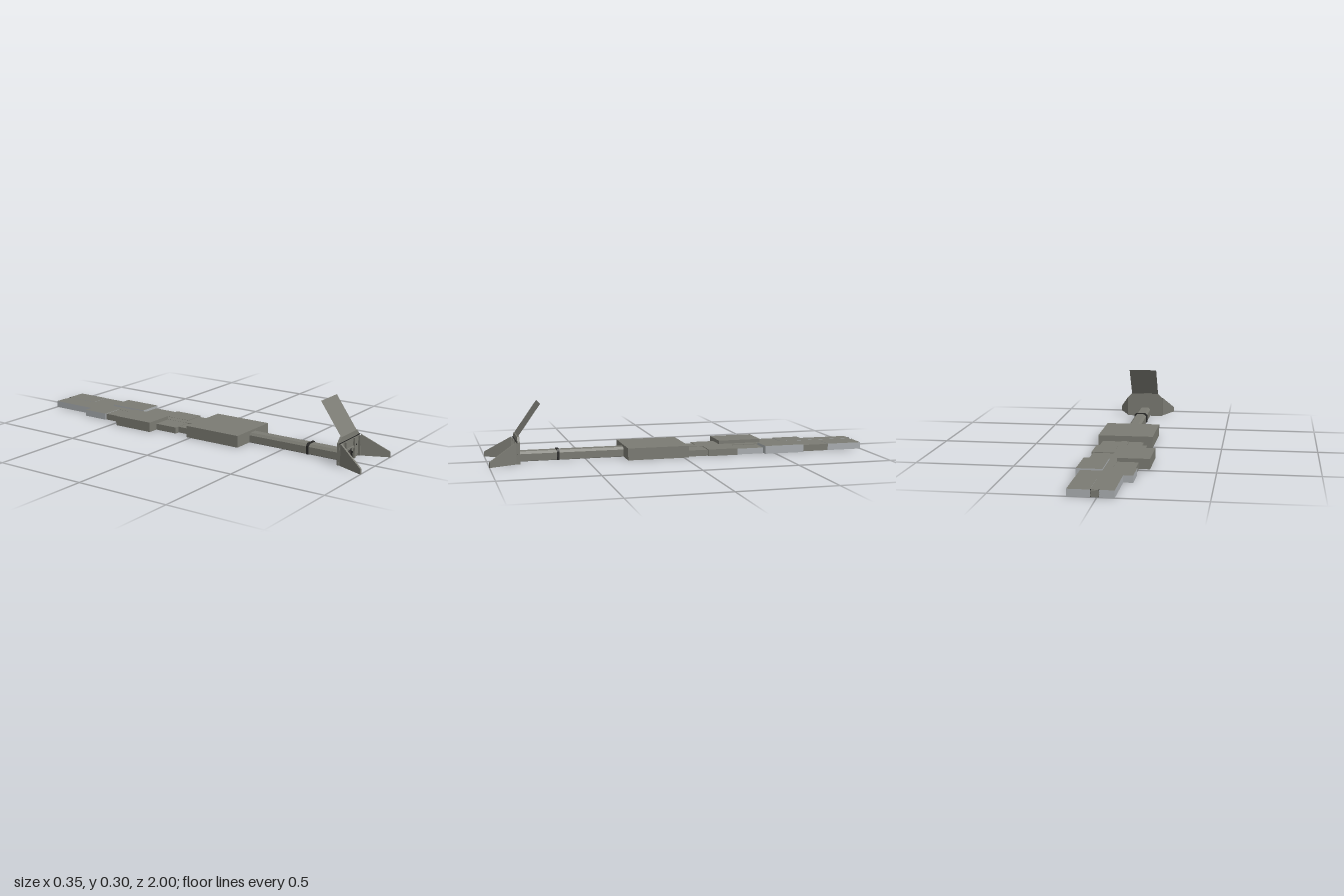
import * as THREE from 'three';

const CX = 0.01; // axis of the spine and front gate

const mat = (name, color, side = THREE.FrontSide) => {
  const m = new THREE.MeshStandardMaterial({ color, side });
  m.name = name;
  return m;
};

export function createModel() {
  const root = new THREE.Group();
  root.name = 'station';
  const hull = mat('hullGrey', 0x7b7b73);
  const sheet = mat('sheetGrey', 0x7b7b73, THREE.DoubleSide);
  const light = mat('lightGrey', 0xabafb2);
  const under = mat('undersideGrey', 0x5b5b58);
  const dark = mat('darkTrim', 0x2a2a29);
  const door = mat('doorBrown', 0x4c4744);
  const yellow = mat('yellowStripe', 0xe0a012);

  const add = (name, geo, material) => {
    const m = new THREE.Mesh(geo, material);
    m.name = name;
    root.add(m);
    return m;
  };
  // Box given by its limits
  const box = (name, x0, x1, y0, y1, z0, z1, material = hull) => {
    const m = add(name, new THREE.BoxGeometry(x1 - x0, y1 - y0, z1 - z0), material);
    m.position.set((x0 + x1) / 2, (y0 + y1) / 2, (z0 + z1) / 2);
    return m;
  };
  // Flat profile extruded along z
  const prism = (name, points, z0, z1, material) => {
    const s = new THREE.Shape(points.map(p => new THREE.Vector2(...p)));
    const geo = new THREE.ExtrudeGeometry(s, { depth: z1 - z0, bevelEnabled: false });
    geo.translate(0, 0, z0);
    return add(name, geo, material);
  };

  // Blocks with a grey roof; wall and floor colours vary
  const walls = (wall, floor) => [wall, wall, hull, floor, wall, wall];
  const plain = walls(hull, under);
  const pale = walls(light, under);
  const paleFloor = walls(light, light);

  // Rooms on the +x side: outer x, height, z range, colours
  [
    [0.137, 0.035, -1.0, -0.81, pale],
    [0.137, 0.034, -0.81, -0.66, plain],
    [0.158, 0.042, -0.66, -0.445, pale],
    [0.137, 0.031, -0.44, -0.295, paleFloor],
    [0.145, 0.035, -0.295, -0.135, plain],
    [0.13, 0.032, -0.135, -0.025, plain],
  ].forEach(([x, h, z0, z1, m]) => box('leftRoom', 0.03, x, 0, h, z0, z1, m));

  // Rooms on the -x side
  [
    [-0.08, 0.035, -1.0, -0.735, pale],
    [-0.127, 0.035, -0.735, -0.59, pale],
    [-0.12, 0.033, -0.59, -0.47, plain],
    [-0.117, 0.033, -0.24, -0.11, plain],
    [-0.09, 0.031, -0.11, -0.025, plain],
  ].forEach(([x, h, z0, z1, m]) => box('rightRoom', x, -0.01, 0, h, z0, z1, m));
  box('rightHall', -0.175, -0.012, 0, 0.052, -0.473, -0.24, plain);

  // Spine passage with its rear hatch
  box('spine', -0.012, 0.03, 0, 0.034, -0.997, -0.02, plain);
  box('rearHatch', -0.012, 0.03, 0.004, 0.032, -1.0, -0.996);
  for (const x of [-0.012, 0.026]) box('hatchPost', x, x + 0.004, 0.002, 0.036, -1.0, -0.994, dark);

  // Main hall
  box('mainHall', -0.137, 0.155, 0, 0.062, -0.025, 0.297, plain);

  // Tunnel with chamfered roof, its floor and its collar
  const arch = (w, h, c, y = 0) => [
    [CX - w, y], [CX + w, y], [CX + w, h - c], [CX + w - c, h], [CX - w + c, h], [CX - w, h - c],
  ];
  prism('tunnel', arch(0.033, 0.05, 0.012, 0.002), 0.295, 0.843, hull);
  box('tunnelFloor', CX - 0.033, CX + 0.033, 0, 0.002, 0.295, 0.843, under);
  prism('tunnelCollar', arch(0.038, 0.055, 0.012), 0.634, 0.646, dark);

  // Gate wall with chamfered crown and a doorway
  prism('gateWall', [
    [CX - 0.105, 0], [CX - 0.033, 0], [CX - 0.033, 0.038], [CX - 0.021, 0.05],
    [CX + 0.021, 0.05], [CX + 0.033, 0.038], [CX + 0.033, 0], [CX + 0.105, 0],
    [CX + 0.105, 0.11], [CX + 0.08, 0.136], [CX - 0.08, 0.136], [CX - 0.105, 0.11],
  ], 0.842, 0.854, hull);
  prism('gateDoor', arch(0.033, 0.05, 0.012), 0.843, 0.846, door);
  box('doorStripe', CX - 0.032, CX + 0.032, 0.0075, 0.0125, 0.845, 0.849, yellow);
  box('doorLintel', CX - 0.022, CX + 0.022, 0.046, 0.05, 0.846, 0.857, dark);
  for (const s of [-1, 1]) {
    const x = CX + s * 0.032;
    box('doorJamb', x - 0.0015, x + 0.0015, 0, 0.038, 0.846, 0.857, dark);
  }

  // Pillars, beams and lamps on the gate
  for (const s of [-1, 1]) {
    const outer = CX + s * 0.099, inner = CX + s * 0.045, lamp = CX + s * 0.056;
    box('outerPillar', outer - 0.005, outer + 0.005, 0, 0.104, 0.853, 0.866);
    box('innerPillar', inner - 0.005, inner + 0.005, 0, 0.104, 0.853, 0.864);
    box('gateLamp', lamp - 0.0025, lamp + 0.0025, 0.0665, 0.0715, 0.853, 0.866, dark);
  }
  box('gateBeam', CX - 0.04, CX + 0.04, 0.055, 0.064, 0.853, 0.862);
  box('beamFitting', CX - 0.009, CX + 0.009, 0.057, 0.0595, 0.861, 0.864, dark);
  box('gateTopTrim', CX - 0.107, CX + 0.107, 0.108, 0.111, 0.853, 0.858, dark);

  // Sloping side walls that flare forwards
  const wing = new THREE.Shape([[0, 0], [0.148, 0], [0.148, 0.027], [0, 0.11]].map(p => new THREE.Vector2(...p)));
  for (const s of [-1, 1]) {
    const geo = new THREE.ExtrudeGeometry(wing, { depth: 0.009, bevelEnabled: false });
    if (s < 0) geo.translate(0, 0, -0.009);
    const m = add(s > 0 ? 'leftWingWall' : 'rightWingWall', geo, hull);
    m.rotation.y = -Math.atan2(0.137, s * 0.058);
    m.position.set(CX + s * 0.107, 0, 0.862);
  }

  // Tilted panel above the gate
  const rise = 0.163, back = 0.115;
  const panel = add('tiltedPanel', new THREE.PlaneGeometry(0.16, Math.hypot(rise, back)), sheet);
  panel.rotation.x = -Math.atan2(back, rise);
  panel.position.set(CX, 0.136 + rise / 2, 0.849 - back / 2);

  return root;
}
